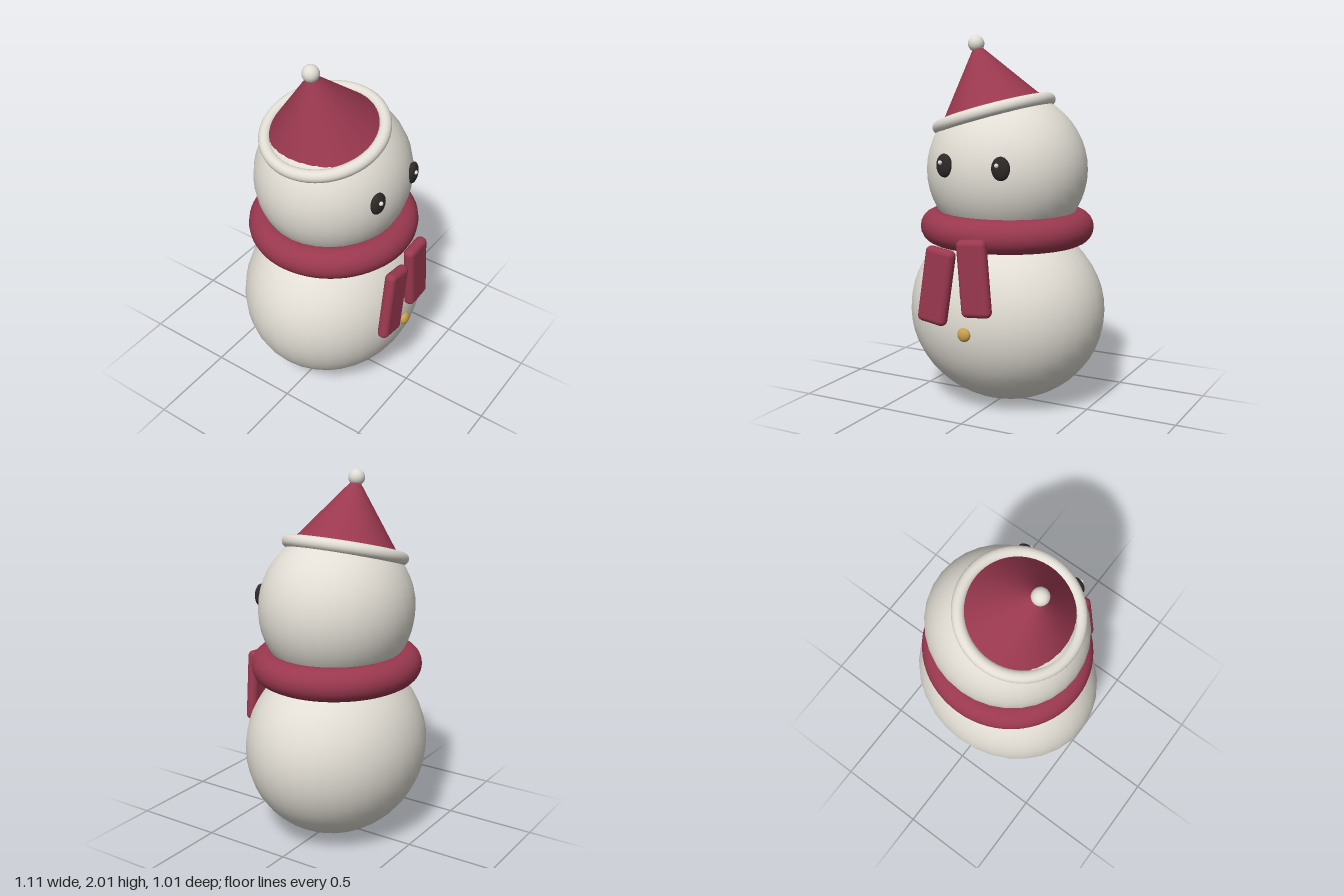
import * as THREE from 'three';
import { RoundedBoxGeometry } from 'three/addons/geometries/RoundedBoxGeometry.js';

const mat = (name, color) => {
  const m = new THREE.MeshStandardMaterial({ color });
  m.name = name;
  return m;
};

export function createModel() {
  const snow = mat('snow white', 0xe2ded5);
  const red = mat('scarf red', 0x9a384f);
  const black = mat('eye black', 0x2e2928);
  const gold = mat('button gold', 0xc9a04c);

  const model = new THREE.Group();
  model.name = 'snowman';
  const Z = -0.02; // centre line of the round parts

  const add = (name, geometry, material, x, y, z, parent = model) => {
    const mesh = new THREE.Mesh(geometry, material);
    mesh.name = name;
    mesh.position.set(x, y, z);
    parent.add(mesh);
    return mesh;
  };
  const ball = (rx, ry, rz, w = 32, h = 24) => new THREE.SphereGeometry(1, w, h).scale(rx, ry, rz);

  // Snowballs
  add('body', ball(0.553, 0.51, 0.485), snow, 0, 0.51, Z);
  add('head', ball(0.445, 0.43, 0.417), snow, 0, 1.285, Z);

  // Scarf ring and its two hanging tails
  const ring = new THREE.TorusGeometry(0.39, 0.09, 20, 64).rotateX(Math.PI / 2).scale(1.0, 1, 0.96);
  add('scarf', ring, red, 0, 0.975, Z);
  const tails = [
    ['scarfTailRight', -0.155, 0.718, 0.41, -0.155],
    ['scarfTailLeft', 0.067, 0.778, 0.405, 0.085],
  ];
  for (const [name, x, y, height, tilt] of tails) {
    const tail = add(name, new RoundedBoxGeometry(0.168, height, 0.064, 4, 0.03), red, x, y, 0.475);
    tail.rotation.z = tilt;
  }

  // Buttons
  add('upperButton', ball(0.037, 0.037, 0.024, 20, 14), gold, 0, 0.68, 0.44);
  add('lowerButton', ball(0.037, 0.037, 0.024, 20, 14), gold, 0, 0.472, 0.465);

  // Eyes, turned to follow the head, each with a small glint
  for (const side of [-1, 1]) {
    const eye = add(side < 0 ? 'rightEye' : 'leftEye', ball(0.05, 0.062, 0.026, 24, 16), black, side * 0.165, 1.335, 0.369);
    eye.rotation.y = side * 0.15;
    add('eyeGlint', ball(0.012, 0.012, 0.012, 12, 8), snow, side * 0.165 - 0.011, 1.352, 0.393);
  }

  // Tilted hat: cone, brim and pompom
  const hat = new THREE.Group();
  hat.name = 'hat';
  hat.position.set(-0.08, 1.585, Z);
  hat.rotation.z = 0.283;
  model.add(hat);
  add('hatCone', new THREE.ConeGeometry(0.3, 0.4, 48), red, 0, 0.2, 0, hat);
  add('hatBrim', new THREE.TorusGeometry(0.312, 0.034, 16, 56).rotateX(Math.PI / 2), snow, 0, 0, 0, hat);
  add('pompom', ball(0.045, 0.045, 0.045, 24, 16), snow, 0, 0.392, 0, hat);

  return model;
}
